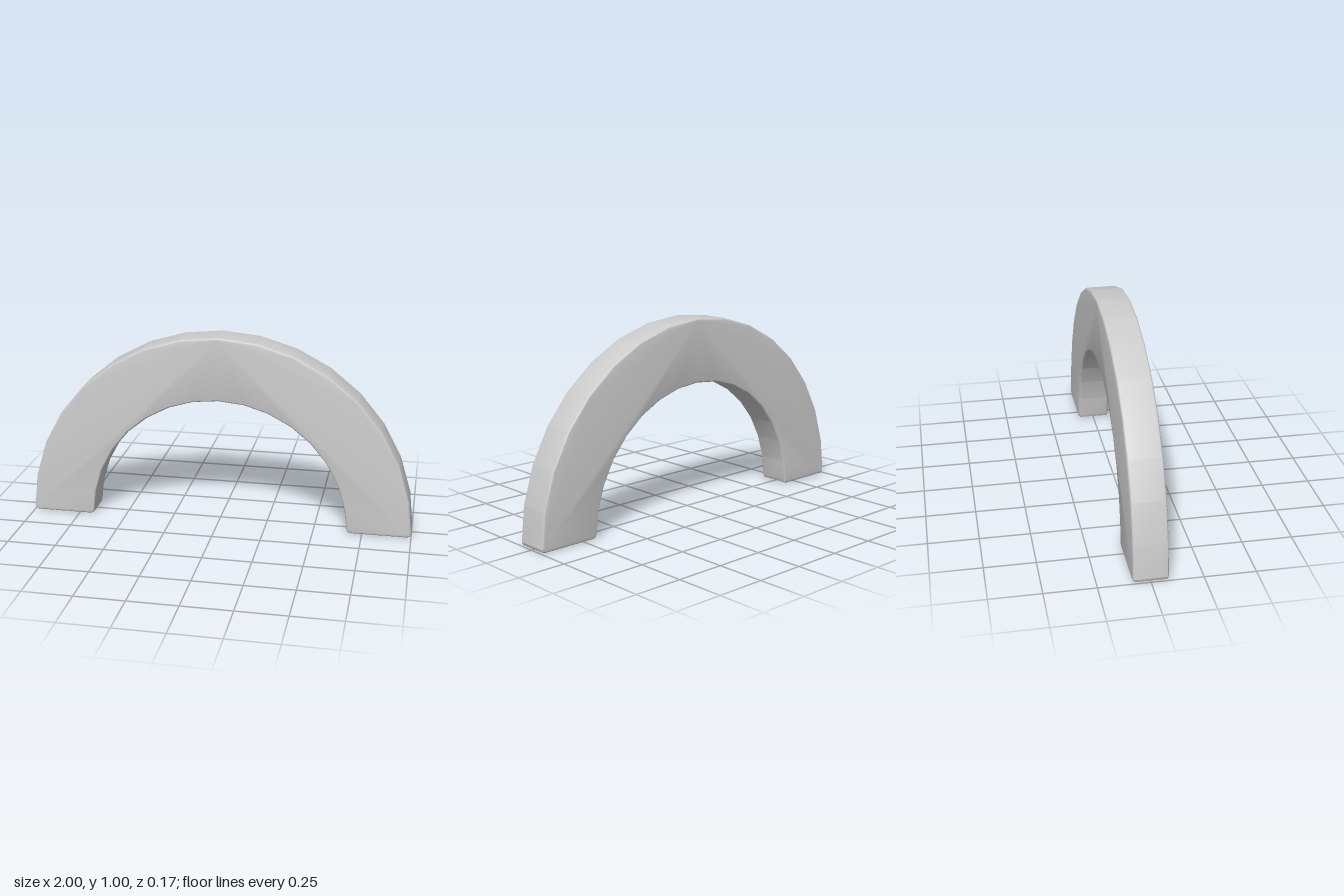
import * as THREE from 'three';
import { toCreasedNormals } from 'three/addons/utils/BufferGeometryUtils.js';

const OUTER = 1, INNER = 0.67, DEPTH = 0.17, BEVEL = 0.013, CORNER = 0.02, SEGMENTS = 16;

// Points of a half circle, right to left, without its two ends
function halfCircle(radius) {
  const points = [];
  for (let i = 1; i < SEGMENTS; i++) {
    const a = (i / SEGMENTS) * Math.PI;
    points.push(new THREE.Vector2(radius * Math.cos(a), radius * Math.sin(a)));
  }
  return points;
}

// Rounded bottom corner; dir points from the corner into the foot
function footCorner(x, dir) {
  return [[1, 0], [0.29, 0.29], [0, 1]].map(
    ([u, v]) => new THREE.Vector2(x + dir * u * CORNER, v * CORNER));
}

export function createModel() {
  const group = new THREE.Group();
  group.name = 'archBlock';

  // Half-ring outline, counter-clockwise
  const outline = new THREE.Shape([
    ...footCorner(OUTER, -1),
    ...halfCircle(OUTER),
    ...footCorner(-OUTER, 1).reverse(),
    ...footCorner(-INNER, -1),
    ...halfCircle(INNER).reverse(),
    ...footCorner(INNER, 1).reverse(),
  ]);

  // Thick slab with softened edges all round
  const geometry = new THREE.ExtrudeGeometry(outline, {
    depth: DEPTH - 2 * BEVEL,
    bevelEnabled: true,
    bevelThickness: BEVEL,
    bevelSize: BEVEL,
    bevelOffset: -BEVEL,
    bevelSegments: 3,
  });
  geometry.translate(0, 0, BEVEL - DEPTH / 2);

  const arch = new THREE.Mesh(
    toCreasedNormals(geometry, 0.3),
    new THREE.MeshStandardMaterial({ color: 0xcccccc }));
  arch.name = 'arch';
  group.add(arch);
  return group;
}
